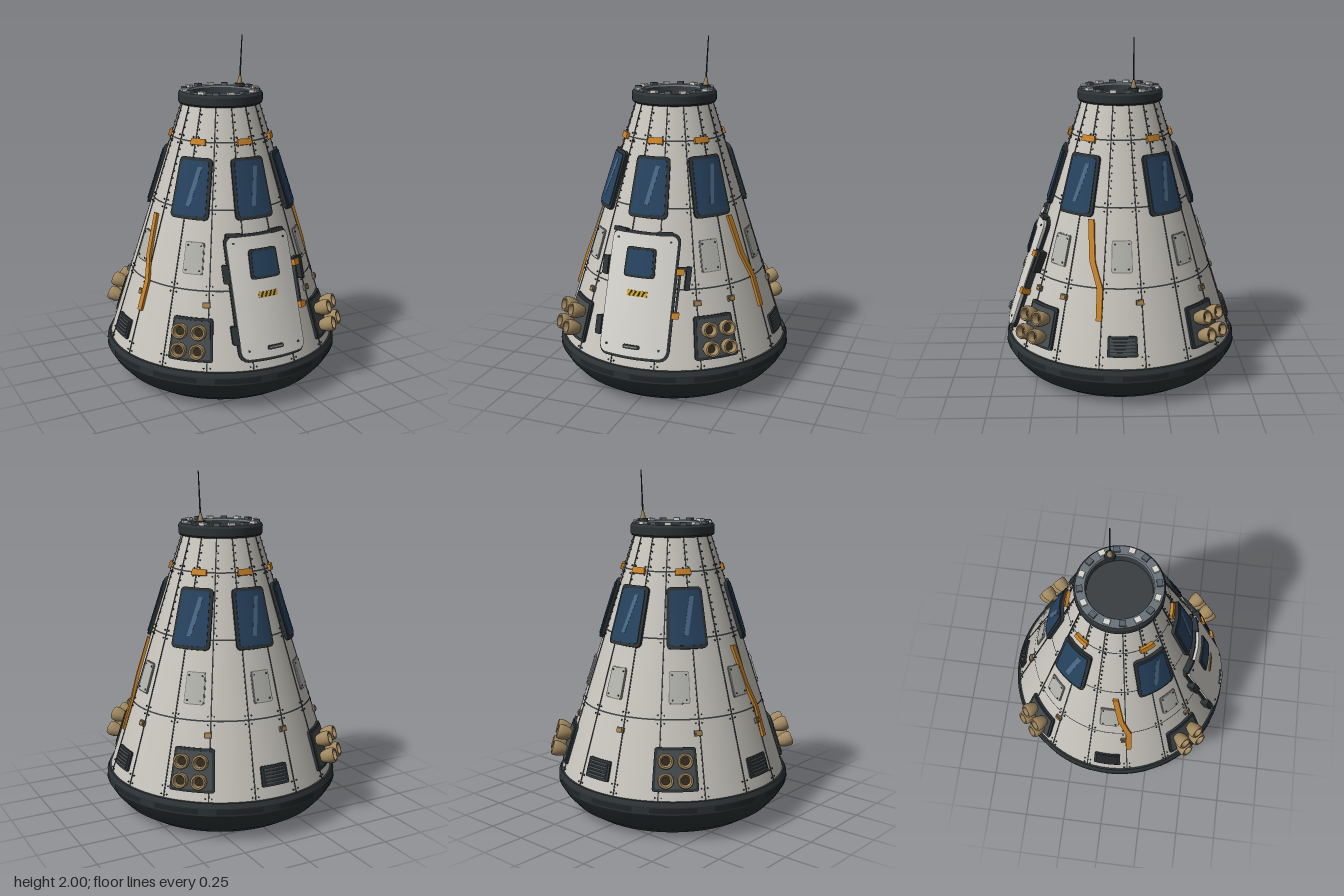
import * as THREE from 'three';
import { toCreasedNormals, mergeGeometries } from 'three/addons/utils/BufferGeometryUtils.js';

const HULL = 0xc8c5bd, DARK = 0x2c3235, SEAM = 0x3a3e40, GLASS = 0x27425e, SHINE = 0x4a6785;
const ORANGE = 0xc98329, BRASS = 0xa08860, PLATE = 0xb2b2ad, DOOR = 0xd2d0ca, YELLOW = 0xd9a52b;
const SLOPE = 0.32, TILT = Math.atan(SLOPE), RAD = Math.PI / 180;
const radius = (y) => 0.67 - SLOPE * (y - 0.24);

// Point on the conical hull at azimuth a (radians from the front), raised along the normal
function onHull(a, y, lift = 0) {
  const r = radius(y) + lift * Math.cos(TILT);
  return new THREE.Vector3(r * Math.sin(a), y + lift * Math.sin(TILT), r * Math.cos(a));
}

const materials = {};
function add(parent, name, geometry, color) {
  materials[color] ??= new THREE.MeshStandardMaterial({ color });
  const mesh = new THREE.Mesh(geometry, materials[color]);
  mesh.name = name;
  parent.add(mesh);
  return mesh;
}

// Skin over closed loops of equal length
function loft(loops, closeToPoint = false) {
  const n = loops[0].length, pos = [], index = [];
  loops.flat().forEach((p) => pos.push(p.x, p.y, p.z));
  for (let i = 0; i < loops.length - 1; i++) {
    for (let j = 0; j < n; j++) {
      const k = (j + 1) % n, a = i * n + j, b = i * n + k, c = a + n, d = b + n;
      index.push(a, b, c);
      if (!closeToPoint || i < loops.length - 2) index.push(b, d, c);
    }
  }
  const g = new THREE.BufferGeometry();
  g.setAttribute('position', new THREE.Float32BufferAttribute(pos, 3));
  g.setIndex(index);
  return toCreasedNormals(g, 0.6);
}

// Rounded trapezoid plate bent over the hull: bottom/top half widths, half height, corner radius
function plate(deg, y, wb, wt, hh, corner, lift, du = 0) {
  const arcs = [[1, -1], [1, 1], [-1, 1], [-1, -1]].map(([sx, sy], q) => {
    const pts = [];
    for (let i = 0; i <= 4; i++) {
      const t = (q - 1 + i / 4) * Math.PI / 2;
      const v = sy * (hh - corner) + corner * Math.sin(t);
      const w = THREE.MathUtils.lerp(wb, wt, (v / hh + 1) / 2);
      pts.push(new THREE.Vector2(sx * (w - corner) + corner * Math.cos(t), v));
    }
    return pts;
  });
  const outline = arcs.flatMap((arc, q) => {
    const next = arcs[(q + 1) % 4][0];
    return [...arc, ...[0.2, 0.4, 0.6, 0.8].map((t) => arc[4].clone().lerp(next, t))];
  });
  const ring = (s, l) => outline.map((p) =>
    onHull(deg * RAD + (du + p.x * s) / radius(y + p.y * s), y + p.y * s, l));
  return loft([ring(1, -0.01), ring(1, lift), ring(0.75, lift), ring(0.5, lift), ring(0.25, lift), ring(0, lift)], true);
}

// Strip on the hull through [degrees, y] stations, listed from bottom to top
function ribbon(path, hw, lift) {
  const section = ([deg, y], l) => [[-hw, -0.01], [-hw, l], [hw, l], [hw, -0.01]]
    .map(([u, h]) => onHull(deg * RAD + u / radius(y), y, h));
  return loft([section(path[0], -0.01), ...path.map((p) => section(p, lift)), section(path.at(-1), -0.01)]);
}

// Group standing on the hull with +z along the hull normal
function mount(parent, name, deg, y, lift = 0) {
  const g = new THREE.Group();
  g.name = name;
  g.position.copy(onHull(deg * RAD, y, lift));
  g.rotation.set(-TILT, deg * RAD, 0, 'YXZ');
  parent.add(g);
  return g;
}

const lathe = (points, seg = 96) =>
  toCreasedNormals(new THREE.LatheGeometry(points.map(([x, y]) => new THREE.Vector2(x, y)), seg), 0.4);

export function createModel() {
  const model = new THREE.Group();
  model.name = 'spaceCapsule';

  // Hull, heat shield and docking collar
  add(model, 'hull', lathe([[0.67, 0.24], [radius(1.64), 1.64]]), HULL);
  add(model, 'heatShieldFace', lathe([[0, 0], [0.52, 0]]), 0x1d1f20);
  add(model, 'heatShield', lathe([[0.52, 0], [0.6, 0.05], [0.655, 0.11], [0.692, 0.17], [0.692, 0.215], [0.68, 0.24], [0.66, 0.243]]), DARK);
  add(model, 'collar', lathe([[0.21, 1.63], [0.238, 1.63], [0.245, 1.64], [0.245, 1.685], [0.235, 1.7]]), DARK);
  add(model, 'collarTop', lathe([[0.235, 1.7], [0.185, 1.7], [0.18, 1.69]]), 0x6b747b);
  add(model, 'collarWell', lathe([[0.18, 1.69], [0.178, 1.635], [0, 1.635]]), 0x393e41);
  for (let i = 0; i < 16; i++) {
    const a = (i + 0.5) * Math.PI / 8;
    const block = add(model, 'collarBlock', new THREE.BoxGeometry(0.036, 0.02, 0.032), i % 2 ? 0xd6d5d0 : 0x596168);
    block.position.set(0.212 * Math.sin(a), 1.704, 0.212 * Math.cos(a));
    block.rotation.y = a;
  }
  for (let i = 0; i < 12; i++) {
    const pad = add(model, 'shieldBandTile', new THREE.CylinderGeometry(0.695, 0.695, 0.03, 8, 1, true, i * Math.PI / 6, 0.38), 0x222628);
    pad.position.y = 0.195;
  }

  // Antenna
  const antenna = new THREE.Group();
  antenna.name = 'antenna';
  antenna.position.set(0.165, 1.7, -0.073);
  antenna.rotation.z = -0.05;
  model.add(antenna);
  add(antenna, 'antennaFoot', new THREE.CylinderGeometry(0.028, 0.032, 0.02, 20), DARK).position.y = 0.01;
  add(antenna, 'antennaCone', new THREE.CylinderGeometry(0.006, 0.018, 0.05, 16), BRASS).position.y = 0.04;
  add(antenna, 'antennaRod', new THREE.CylinderGeometry(0.003, 0.005, 0.24, 8), DARK).position.y = 0.18;

  // Panel seams and rivets
  const rows = [0.663, 1.088, 1.445], rivets = [];
  const rivet = (a, y) => {
    const g = new THREE.CylinderGeometry(0.004, 0.005, 0.008, 6).rotateX(Math.PI / 2 - TILT).rotateY(a);
    const p = onHull(a, y, 0.002);
    rivets.push(g.translate(p.x, p.y, p.z));
  };
  for (const y of rows) {
    const band = [-0.004, 0.004].map((d) => [radius(y + d) + 0.003, y + d]);
    add(model, 'ringSeam', lathe(band), SEAM);
  }
  for (let i = 0; i < 16; i++) {
    const deg = (i + 0.5) * 22.5;
    add(model, 'panelSeam', ribbon([[deg, 0.24], [deg, 1.63]], 0.0035, 0.003), SEAM);
    for (const y of [0.28, ...rows]) {
      for (const du of [-0.018, 0.018]) for (const dy of [-0.022, 0.022]) rivet(deg * RAD + du / radius(y), y + dy);
    }
    for (let y = 1.15; y < 1.62; y += 0.04) rivet(deg * RAD + 0.012 / radius(y), y);
  }
  add(model, 'rivets', mergeGeometries(rivets), SEAM);

  // Windows with a clip above each
  for (const deg of [0, 52, 128, 180, 232, 308]) {
    add(model, 'windowFrame', plate(deg, 1.195, 0.115, 0.095, 0.165, 0.025, 0.02), DARK);
    add(model, 'windowGlass', plate(deg, 1.195, 0.097, 0.078, 0.147, 0.016, 0.025), GLASS);
    add(model, 'windowShine', ribbon([[deg - 1, 1.1], [deg + 6, 1.31]], 0.012, 0.0265), SHINE);
    add(model, 'windowClip', plate(deg, 1.443, 0.045, 0.04, 0.017, 0.004, 0.018), ORANGE);
  }

  // Access plates and small clips
  for (let i = 1; i < 8; i++) {
    add(model, 'accessPlateRim', plate(i * 45, 0.83, 0.06, 0.055, 0.087, 0.012, 0.004), 0x7c7e7c);
    add(model, 'accessPlate', plate(i * 45, 0.83, 0.055, 0.05, 0.082, 0.01, 0.01), PLATE);
    for (const u of [-0.038, 0.038]) for (const v of [-0.066, 0.066]) {
      add(model, 'accessBolt', plate(i * 45, 0.83 + v, 0.005, 0.005, 0.005, 0.004, 0.013, u), SEAM);
    }
  }
  for (const deg of [34, 55, 100, 145, 190, 235, 280, 325]) {
    add(model, 'smallClip', plate(deg, 0.588, 0.021, 0.021, 0.015, 0.003, 0.015), 0x6f6a60);
    add(model, 'smallClipCap', plate(deg, 0.588, 0.014, 0.014, 0.008, 0.002, 0.02), 0xb57f3c);
  }

  // Vents on the sides and back
  for (const deg of [90, 180, 270]) {
    add(model, 'ventFrame', plate(deg, 0.36, 0.085, 0.08, 0.055, 0.008, 0.012), DARK);
    for (let k = -2; k <= 2; k++) {
      add(model, 'ventSlat', plate(deg, 0.36 + k * 0.018, 0.068, 0.067, 0.0055, 0.002, 0.019), 0x474d50);
    }
  }

  // Thruster pods
  const bell = lathe([[0.026, 0], [0.034, 0.015], [0.044, 0.045], [0.045, 0.07], [0.04, 0.085], [0.031, 0.085], [0.022, 0.05]], 24).rotateX(Math.PI / 2);
  for (const deg of [42, 138, 222, 318]) {
    add(model, 'thrusterFrame', plate(deg, 0.405, 0.128, 0.11, 0.115, 0.014, 0.015), DARK);
    add(model, 'thrusterBed', plate(deg, 0.405, 0.112, 0.096, 0.1, 0.01, 0.02), 0x454b4e);
    const pod = mount(model, 'thrusterPod', deg, 0.4, 0.012);
    for (const x of [-0.053, 0.053]) for (const y of [-0.052, 0.052]) {
      add(pod, 'thrusterBell', bell, BRASS).position.set(x, y, 0);
      add(pod, 'thrusterThroat', new THREE.CircleGeometry(0.024, 20), 0x33291c).position.set(x, y, 0.051);
    }
  }

  // Orange conduits on both flanks
  add(model, 'leftConduit', ribbon([[77.5, 0.49], [77, 0.66], [71, 0.8], [67, 1.02]], 0.016, 0.016), ORANGE);
  add(model, 'rightConduit', ribbon([[-77.5, 0.49], [-77, 0.66], [-82, 0.8], [-86, 1.02]], 0.016, 0.016), ORANGE);

  // Door with window, warning strip and grip
  add(model, 'doorFrame', plate(0, 0.622, 0.208, 0.202, 0.337, 0.05, 0.018), DARK);
  add(model, 'doorPanel', plate(0, 0.622, 0.194, 0.188, 0.323, 0.042, 0.034), DOOR);
  add(model, 'doorWindowFrame', plate(0, 0.795, 0.086, 0.08, 0.08, 0.018, 0.043), DARK);
  add(model, 'doorWindowGlass', plate(0, 0.795, 0.072, 0.067, 0.066, 0.012, 0.047), GLASS);
  add(model, 'warningStrip', plate(0, 0.632, 0.056, 0.056, 0.016, 0.003, 0.038), YELLOW);
  for (const x of [-0.036, -0.012, 0.012, 0.036]) {
    const dx = (0.006 / radius(0.632)) / RAD, c = (x / radius(0.632)) / RAD;
    add(model, 'warningBar', ribbon([[c - dx, 0.618], [c + dx, 0.646]], 0.005, 0.0395), DARK);
  }
  add(model, 'doorGripBase', plate(0, 0.352, 0.046, 0.046, 0.011, 0.008, 0.042), SEAM);
  add(model, 'doorGrip', plate(0, 0.352, 0.038, 0.038, 0.005, 0.004, 0.05), 0x8d9498);
  for (const u of [-0.15, 0.15]) for (const y of [0.345, 0.91]) {
    add(model, 'doorBolt', plate(0, y, 0.006, 0.006, 0.006, 0.005, 0.038, u), SEAM);
  }

  // Door hinges, corner guards and latch
  for (const y of [0.75, 0.43]) add(model, 'doorHinge', plate(0, y, 0.019, 0.019, 0.05, 0.008, 0.045, -0.212), DARK);
  for (const u of [-0.145, 0.115]) add(model, 'doorGuard', plate(0, 0.953, 0.045, 0.04, 0.012, 0.006, 0.036, u), DARK);
  add(model, 'latchBar', plate(0, 0.72, 0.013, 0.013, 0.062, 0.006, 0.045, 0.26), DARK);
  add(model, 'latchArm', plate(0, 0.77, 0.035, 0.035, 0.012, 0.004, 0.04, 0.235), DARK);
  for (const y of [0.755, 0.528]) add(model, 'latchBlock', plate(0, y, 0.02, 0.02, 0.017, 0.004, 0.052, 0.215), ORANGE);
  add(model, 'latchRod', plate(0, 0.64, 0.006, 0.006, 0.11, 0.004, 0.036, 0.216), SEAM);

  return model;
}
